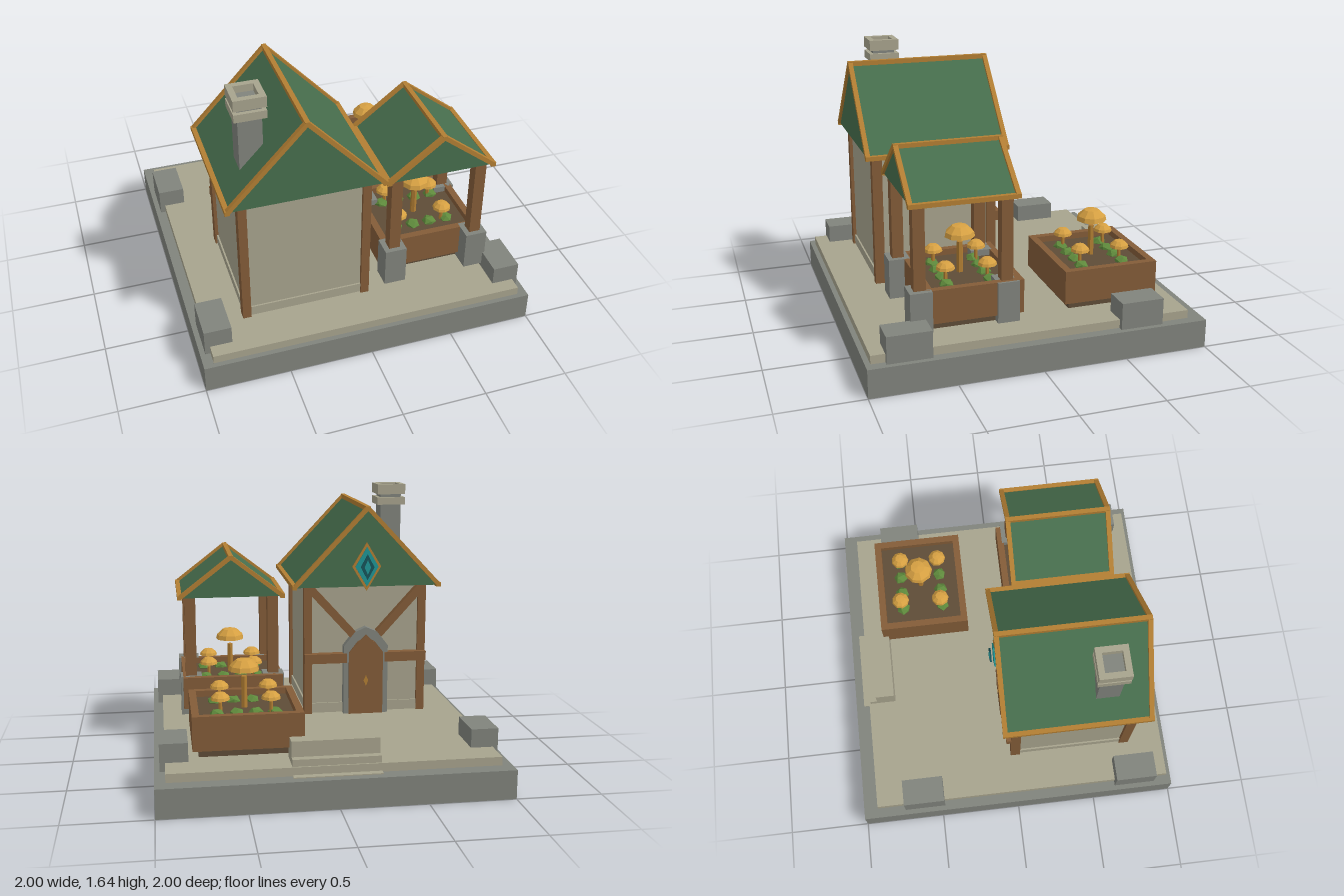
import * as THREE from 'three';

const mat = (name, color) => {
  const m = new THREE.MeshStandardMaterial({ color });
  m.name = name;
  return m;
};

export function createModel() {
  const M = {
    dark: mat('darkStone', 0x80837c),
    light: mat('paleStone', 0xa7a38d),
    wood: mat('wood', 0x835c38),
    gold: mat('goldTrim', 0xb27e33),
    cap: mat('mushroomCap', 0xd6a042),
    roof: mat('roofGreen', 0x476e4d),
    soil: mat('soil', 0x5e4c37),
    leaf: mat('leaf', 0x5f8a3c),
    teal: mat('teal', 0x1f9696),
    deep: mat('deepTeal', 0x17545a),
  };
  const root = new THREE.Group();
  root.name = 'cottageGarden';
  const group = (name, parent = root) => {
    const g = new THREE.Group();
    g.name = name;
    parent.add(g);
    return g;
  };
  const add = (parent, name, geo, m) => {
    const mesh = new THREE.Mesh(geo, m);
    mesh.name = name;
    parent.add(mesh);
    return mesh;
  };
  // box given by its minimum and maximum on each axis
  const box = (p, name, m, x0, x1, y0, y1, z0, z1) => {
    const b = add(p, name, new THREE.BoxGeometry(x1 - x0, y1 - y0, z1 - z0), m);
    b.position.set((x0 + x1) / 2, (y0 + y1) / 2, (z0 + z1) / 2);
    return b;
  };
  // beam between two points of the xy plane
  const beam = (p, name, m, ax, ay, bx, by, z0, z1, w) => {
    const b = add(p, name, new THREE.BoxGeometry(Math.hypot(bx - ax, by - ay), w, z1 - z0), m);
    b.position.set((ax + bx) / 2, (ay + by) / 2, (z0 + z1) / 2);
    b.rotation.z = Math.atan2(by - ay, bx - ax);
  };
  const shapeOf = (pts) => new THREE.Shape(pts.map(([x, y]) => new THREE.Vector2(x, y)));
  // outline in xy extruded from z0 to z1
  const plate = (p, name, m, pts, z0, z1) => {
    const geo = new THREE.ExtrudeGeometry(shapeOf(pts), { depth: z1 - z0, bevelEnabled: false });
    add(p, name, geo, m).position.z = z0;
  };
  const diamond = (x, y, w, h) => [[x - w, y], [x, y - h], [x + w, y], [x, y + h]];
  const flat = (geo) => {
    const g = geo.index ? geo.toNonIndexed() : geo;
    g.computeVertexNormals();
    return g;
  };

  // platform, corner blocks and back steps
  const ground = group('platform');
  box(ground, 'base', M.dark, -1, 1, 0, 0.17, -1, 1);
  box(ground, 'paving', M.light, -0.94, 0.94, 0.17, 0.22, -0.91, 0.97);
  for (const x of [-0.89, 0.89])
    for (const z of [-0.605, 0.76])
      box(ground, 'cornerBlock', M.dark, x - 0.08, x + 0.08, 0.17, 0.33, z - 0.128, z + 0.128);
  const steps = group('steps');
  box(steps, 'topStep', M.light, -0.25, 0.25, 0.2, 0.35, -0.855, -0.735);
  box(steps, 'middleStep', M.light, -0.25, 0.25, 0.1, 0.26, -0.9, -0.74);
  box(steps, 'lowStep', M.light, -0.25, 0.25, 0.02, 0.176, -0.95, -0.74);

  // gabled roof with trim on every sloping edge, the ridge and the eaves
  const roof = (p, x0, x1, y0, y1, z0, z1) => {
    const g = group('roof', p);
    const c = (x0 + x1) / 2, t = 0.014;
    plate(g, 'roofBody', M.roof, [[x0, y0], [x1, y0], [c, y1]], z0 + t, z1 - t);
    for (const x of [x0, x1]) {
      for (const z of [z0 + t, z1 - t])
        beam(g, 'gableTrim', M.gold, x, y0 + 0.004, c, y1 + 0.004, z - t, z + t, 0.026);
      box(g, 'eaveTrim', M.gold, x - t, x + t, y0 - 0.01, y0 + 0.016, z0, z1);
    }
    box(g, 'ridgeTrim', M.gold, c - t, c + t, y1 - 0.014, y1 + 0.014, z0, z1);
  };

  // house walls and posts
  const house = group('house');
  const hx = -0.325;
  box(house, 'walls', M.light, -0.69, 0.04, 0.245, 1.07, 0, 0.73);
  box(house, 'wallFooting', M.light, -0.7, 0.05, 0.25, 0.31, -0.01, 0.74);
  for (const x of [-0.71, 0.01])
    for (const z of [-0.02, 0.69])
      box(house, 'cornerPost', M.wood, x, x + 0.05, 0.245, 1.065, z, z + 0.06);
  roof(house, -0.775, 0.125, 1.06, 1.54, -0.08, 0.8);

  // back wall timber and door
  for (const s of [-1, 1]) {
    beam(house, 'brace', M.wood, hx + s * 0.35, 1.05, hx + s * 0.05, 0.72, -0.045, 0, 0.05);
    beam(house, 'crossBeam', M.wood, hx + s * 0.385, 0.605, hx + s * 0.12, 0.605, -0.05, 0, 0.06);
  }
  const arch = (w, shoulder, top) => [
    [hx - w, 0.245], [hx + w, 0.245], [hx + w, shoulder], [hx + w * 0.5, top - 0.03],
    [hx, top], [hx - w * 0.5, top - 0.03], [hx - w, shoulder],
  ];
  const door = group('door', house);
  plate(door, 'doorFrame', M.dark, arch(0.14, 0.68, 0.8), -0.047, 0);
  plate(door, 'doorLeaf', M.wood, arch(0.108, 0.64, 0.74), -0.056, -0.04);
  plate(door, 'doorDiamond', M.wood, diamond(hx, 0.685, 0.07, 0.07), -0.065, -0.04);
  plate(door, 'doorOrnament', M.gold, diamond(hx, 0.46, 0.015, 0.035), -0.061, -0.055);

  // gable ornament in nested layers
  const badge = group('gableOrnament', house);
  plate(badge, 'ornamentFrame', M.gold, diamond(-0.32, 1.185, 0.09, 0.15), -0.076, -0.06);
  plate(badge, 'ornamentPanel', M.teal, diamond(-0.32, 1.185, 0.072, 0.122), -0.084, -0.075);
  plate(badge, 'ornamentGem', M.deep, diamond(-0.32, 1.185, 0.042, 0.078), -0.106, -0.096);
  plate(badge, 'ornamentCore', M.teal, diamond(-0.32, 1.185, 0.02, 0.045), -0.109, -0.105);

  // chimney with two collars, the top one hollow
  const chimney = group('chimney', house);
  const square = (h) => [[-h, -h], [h, -h], [h, h], [-h, h]];
  box(chimney, 'shaft', M.dark, -0.653, -0.517, 1.1, 1.52, 0.467, 0.603);
  box(chimney, 'lowerCollar', M.light, -0.677, -0.493, 1.51, 1.558, 0.443, 0.627);
  box(chimney, 'neck', M.dark, -0.653, -0.517, 1.55, 1.6, 0.467, 0.603);
  const ring = shapeOf(square(0.092));
  ring.holes.push(shapeOf(square(0.057)));
  const collar = add(chimney, 'upperCollar',
    new THREE.ExtrudeGeometry(ring, { depth: 0.065, bevelEnabled: false }), M.light);
  collar.rotation.x = -Math.PI / 2;
  collar.position.set(-0.585, 1.578, 0.535);

  // pavilion: posts on stone feet
  const pavilion = group('pavilion');
  for (const x of [0.24, 0.757])
    for (const z of [0.152, 0.655]) {
      box(pavilion, 'post', M.wood, x - 0.034, x + 0.034, 0.4, 1, z - 0.034, z + 0.034);
      box(pavilion, 'postFoot', M.dark, x - 0.066, x + 0.066, 0.245, 0.487, z - 0.064, z + 0.064);
    }
  roof(pavilion, 0.18, 0.82, 0.985, 1.232, 0.085, 0.72);

  // low-poly mushroom: stem and faceted floating cap
  const mushroom = (p, x, z, r, stemTop, capY, h) => {
    const g = group('mushroom', p);
    g.position.set(x, 0, z);
    const sr = r * 0.22;
    add(g, 'stem', flat(new THREE.CylinderGeometry(sr * 0.9, sr, stemTop - 0.43, 6)), M.gold)
      .position.y = (stemTop + 0.43) / 2;
    const profile = [[0, 0], [r, 0], [r * 0.92, h * 0.4], [r * 0.5, h * 0.92], [0, h]]
      .map(([a, b]) => new THREE.Vector2(a, b));
    add(g, 'cap', flat(new THREE.LatheGeometry(profile, 9)), M.cap).position.y = capY;
  };

  // planter box with soil, two rows of bushes and five mushrooms
  const planter = (cx, cz) => {
    const g = group('planter');
    g.position.set(cx, 0, cz);
    const w = 0.312, d = 0.284, t = 0.042;
    box(g, 'plinth', M.soil, -w + 0.035, w - 0.035, 0.245, 0.3, -d + 0.035, d - 0.035);
    box(g, 'planterFloor', M.wood, -w + 0.01, w - 0.01, 0.288, 0.3, -d + 0.01, d - 0.01);
    for (const s of [-1, 1]) {
      const x = s * (w - t / 2), z = s * (d - t / 2);
      box(g, 'sideBoard', M.wood, x - t / 2, x + t / 2, 0.288, 0.487, -d, d);
      box(g, 'endBoard', M.wood, -w + t, w - t, 0.288, 0.487, z - t / 2, z + t / 2);
    }
    box(g, 'soilBed', M.soil, -w + t, w - t, 0.3, 0.45, -d + t, d - t);
    for (const z of [-0.128, 0.128])
      for (let i = 0; i < 4; i++) {
        const b = add(g, 'bush', new THREE.IcosahedronGeometry(0.045, 0), M.leaf);
        b.position.set(-0.165 + i * 0.11, 0.452, z);
        b.scale.y = 0.75;
        b.rotation.y = i * 1.3 + z * 5;
      }
    mushroom(g, 0, 0, 0.09, 0.635, 0.67, 0.068);
    for (const [x, z] of [[-0.14, -0.14], [0.145, -0.12], [-0.15, 0.12], [0.135, 0.125]])
      mushroom(g, x, z, 0.056, 0.518, 0.535, 0.042);
  };
  planter(0.475, -0.485);
  planter(0.497, 0.342);

  return root;
}
